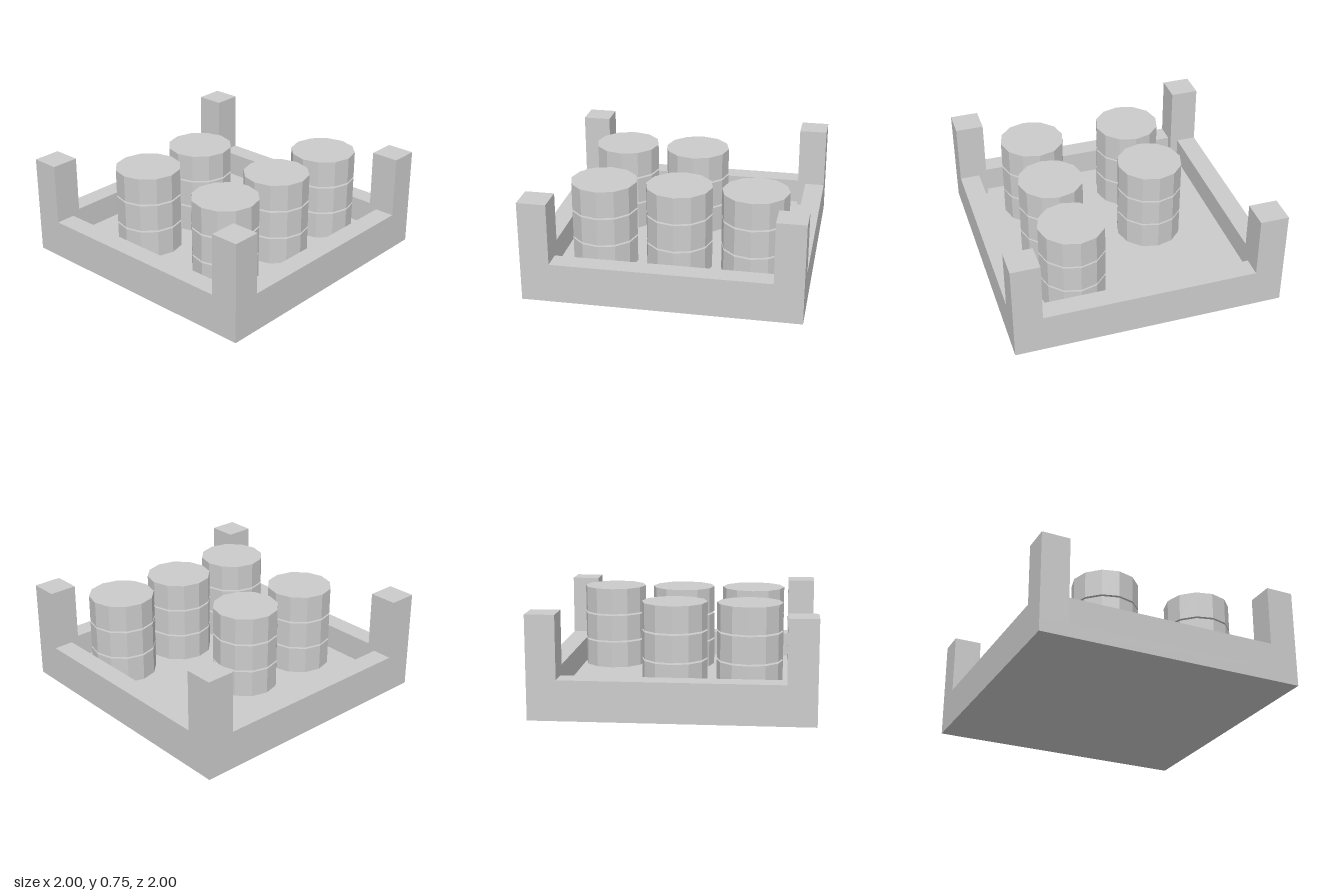
import * as THREE from 'three';

export function createModel() {
  const model = new THREE.Group();
  model.name = 'crateWithBarrels';
  const material = new THREE.MeshStandardMaterial({ color: 0xcccccc, flatShading: true });

  const add = (parent, name, geometry, x, y, z) => {
    const mesh = new THREE.Mesh(geometry, material);
    mesh.name = name;
    mesh.position.set(x, y, z);
    parent.add(mesh);
  };

  const floorTop = 0.1, railTop = 0.29, postTop = 0.745;
  const post = 0.21, rail = 0.15;

  // Floor slab
  add(model, 'floor', new THREE.BoxGeometry(2, floorTop, 2), 0, floorTop / 2, 0);

  // Low rails between the corner posts
  const railLength = 2 - 2 * post, railHeight = railTop - floorTop;
  const railY = floorTop + railHeight / 2, railOffset = 1 - rail / 2;
  for (const s of [-1, 1]) {
    add(model, s > 0 ? 'frontRail' : 'backRail',
      new THREE.BoxGeometry(railLength, railHeight, rail), 0, railY, s * railOffset);
    add(model, s > 0 ? 'leftRail' : 'rightRail',
      new THREE.BoxGeometry(rail, railHeight, railLength), s * railOffset, railY, 0);
  }

  // Corner posts
  const postHeight = postTop - floorTop, postOffset = 1 - post / 2;
  for (const sx of [-1, 1]) for (const sz of [-1, 1]) {
    add(model, (sz > 0 ? 'front' : 'back') + (sx > 0 ? 'Left' : 'Right') + 'Post',
      new THREE.BoxGeometry(post, postHeight, post),
      sx * postOffset, floorTop + postHeight / 2, sz * postOffset);
  }

  // Twelve-sided barrels, each of three drums with narrow gaps; one place stays empty
  const drum = new THREE.CylinderGeometry(0.243, 0.243, 0.2, 12);
  const places = [[-0.514, -0.302], [0.04, -0.302], [-0.514, 0.465], [0.04, 0.465], [0.593, 0.465]];
  places.forEach(([x, z], i) => {
    const barrel = new THREE.Group();
    barrel.name = `barrel${i + 1}`;
    barrel.position.set(x, 0, z);
    for (let k = 0; k < 3; k++) add(barrel, 'drum', drum, 0, 0.211 + k * 0.2135, 0);
    model.add(barrel);
  });

  return model;
}
